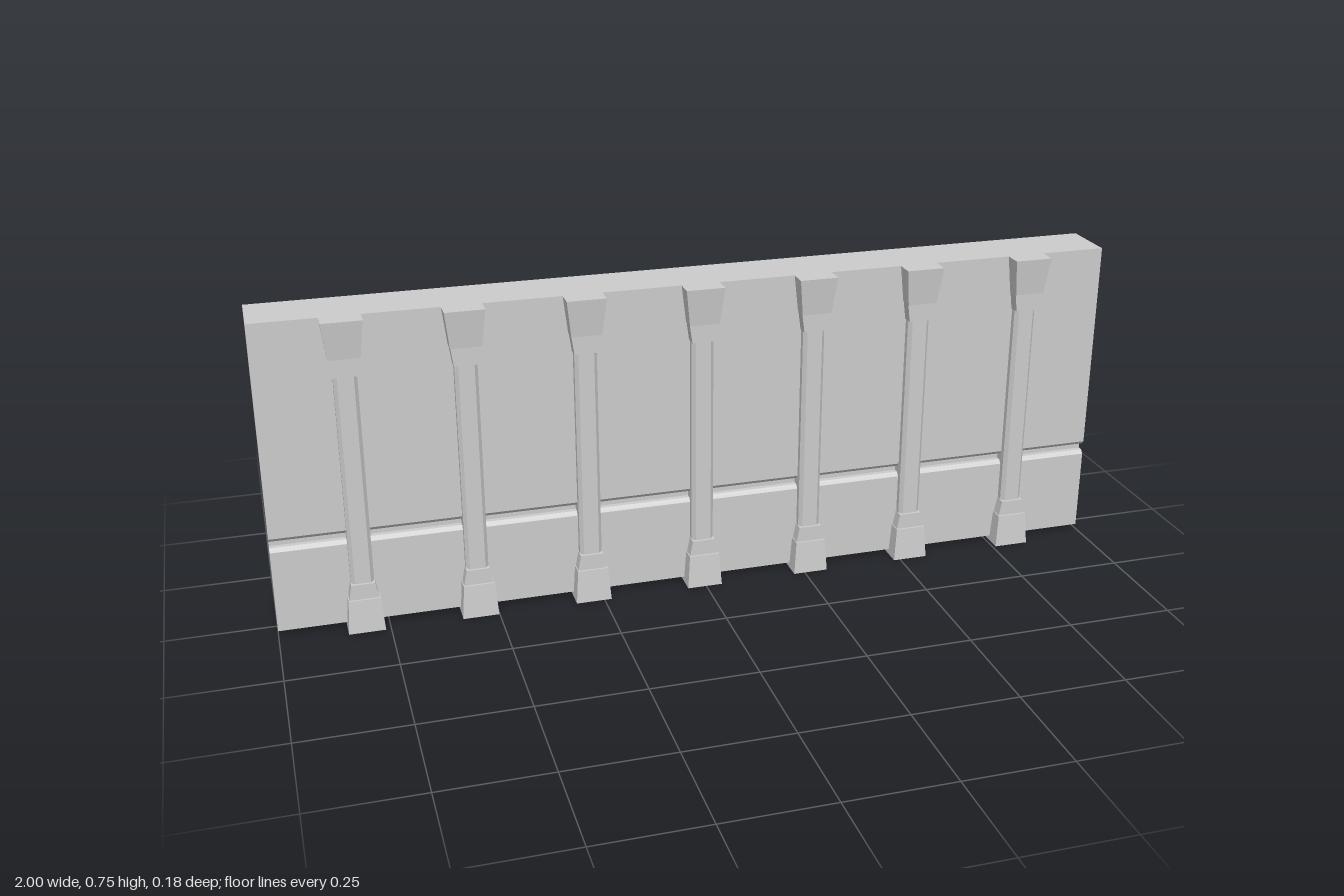
import * as THREE from 'three';

const material = new THREE.MeshStandardMaterial({ color: 0xcccccc, flatShading: true });

// Block from y0 to y1, back at z = 0, with its own half width and front z at each end
function taperedBlock(name, y0, y1, [halfW0, front0], [halfW1, front1]) {
  const geo = new THREE.BoxGeometry(2, 1, 1);
  const p = geo.attributes.position;
  for (let i = 0; i < p.count; i++) {
    const top = p.getY(i) > 0;
    p.setXYZ(i,
      p.getX(i) * (top ? halfW1 : halfW0),
      top ? y1 : y0,
      p.getZ(i) > 0 ? (top ? front1 : front0) : 0);
  }
  geo.computeVertexNormals();
  const mesh = new THREE.Mesh(geo, material);
  mesh.name = name;
  return mesh;
}

// Wall section in (z, y), with the same groove cut in both faces
function createWall() {
  const front = 0.047, back = -0.087, bottom = 0.012, top = 0.747;
  const groove = [[0, 0.209], [0.008, 0.218], [0.02, 0.218], [0.02, 0.232], [0.008, 0.234], [0, 0.243]];
  const section = [
    [back, bottom], [front, bottom],
    ...groove.map(([d, y]) => [front - d, y]),
    [front, top], [back, top],
    ...groove.map(([d, y]) => [back + d, y]).reverse(),
  ];
  // Shape x becomes -z after the turn, so z is negated here
  const shape = new THREE.Shape(section.map(([z, y]) => new THREE.Vector2(-z, y)));
  const geo = new THREE.ExtrudeGeometry(shape, { depth: 2, bevelEnabled: false });
  geo.translate(0, 0, -1).rotateY(Math.PI / 2);
  const wall = new THREE.Mesh(geo, material);
  wall.name = 'groovedWall';
  return wall;
}

// Shaft with chamfered front corners
function createShaft() {
  const shape = new THREE.Shape([
    [-0.026, 0], [0.026, 0], [0.026, -0.06], [0.018, -0.069], [-0.018, -0.069], [-0.026, -0.06],
  ].map(([x, y]) => new THREE.Vector2(x, y)));
  const geo = new THREE.ExtrudeGeometry(shape, { depth: 0.52, bevelEnabled: false });
  geo.rotateX(-Math.PI / 2).translate(0, 0.107, 0);
  const shaft = new THREE.Mesh(geo, material);
  shaft.name = 'shaft';
  return shaft;
}

function createPilaster(x) {
  const pilaster = new THREE.Group();
  pilaster.name = 'pilaster';
  pilaster.add(
    taperedBlock('base', 0, 0.08, [0.042, 0.086], [0.036, 0.08]),
    taperedBlock('baseCollar', 0.08, 0.117, [0.034, 0.075], [0.027, 0.075]),
    createShaft(),
    taperedBlock('capitalCollar', 0.617, 0.66, [0.028, 0.075], [0.034, 0.075]),
    taperedBlock('capital', 0.66, 0.747, [0.035, 0.08], [0.045, 0.09]),
  );
  pilaster.position.x = x;
  return pilaster;
}

export function createModel() {
  const model = new THREE.Group();
  model.name = 'wallWithPilasters';
  model.add(createWall());
  for (const x of [-0.804, -0.543, -0.275, -0.003, 0.265, 0.526, 0.8]) model.add(createPilaster(x));
  return model;
}
